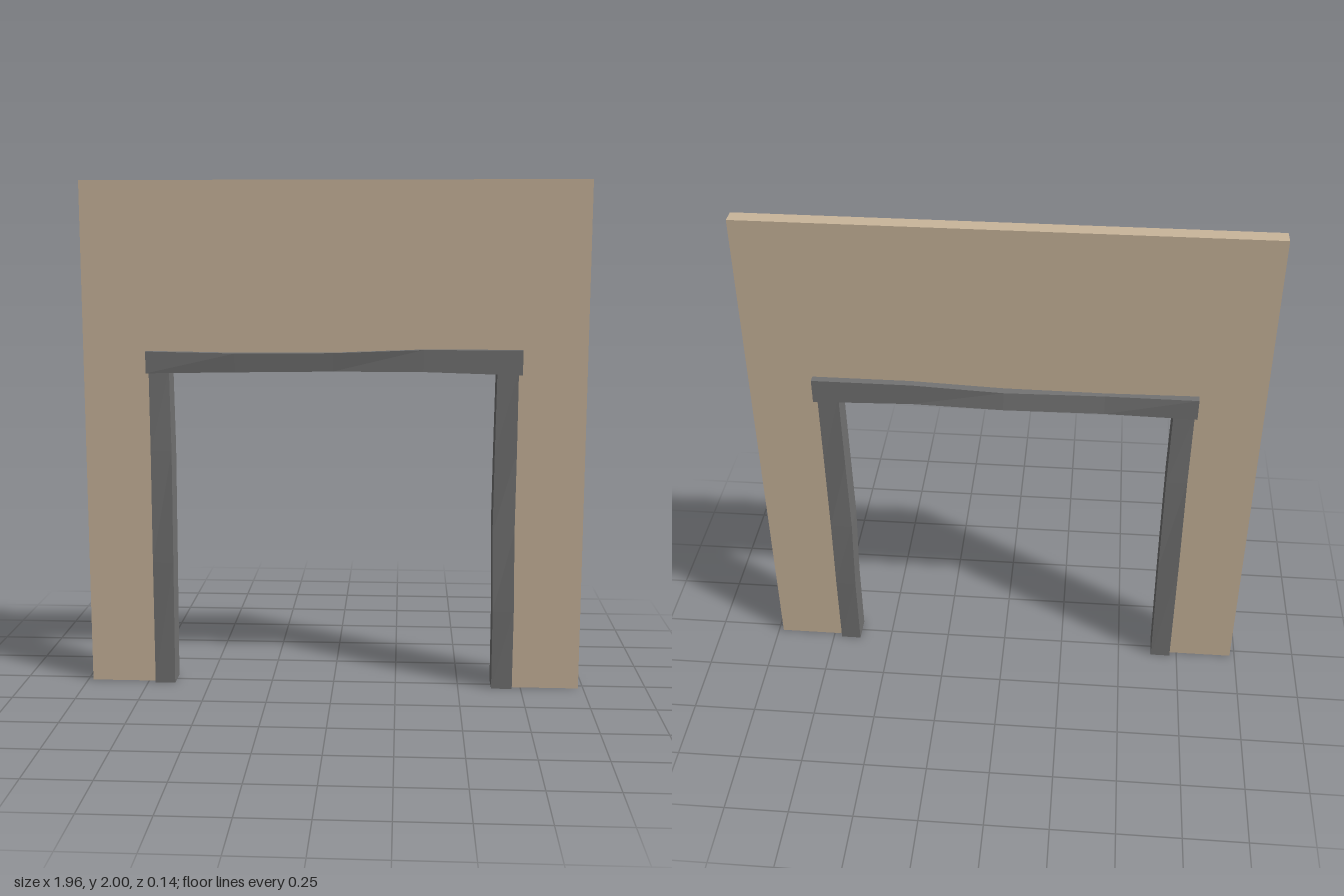
import * as THREE from 'three';

// Rough-hewn beam: each station is [position, low, high, back, front, shear].
// low/high span the crosswise direction (y for a beam along x, x for one along y).
function beam(name, axis, stations, material) {
  const n = stations.length - 1;
  const alongX = axis === 'x';
  const geo = new THREE.BoxGeometry(1, 1, 1, alongX ? n : 1, alongX ? 1 : n, 1).toNonIndexed();
  const p = geo.attributes.position;
  for (let i = 0; i < p.count; i++) {
    const along = alongX ? p.getX(i) : p.getY(i);
    const side = alongX ? p.getY(i) : p.getX(i);
    const [pos, low, high, back, front, shear = 0] = stations[Math.round((along + 0.5) * n)];
    const cross = side > 0 ? high : low;
    const z = (p.getZ(i) > 0 ? front : back) + (side > 0 ? shear : -shear);
    if (alongX) p.setXYZ(i, pos, cross, z);
    else p.setXYZ(i, cross, pos, z);
  }
  geo.computeVertexNormals(); // flat facets
  const mesh = new THREE.Mesh(geo, material);
  mesh.name = name;
  return mesh;
}

export function createModel() {
  const plaster = new THREE.MeshStandardMaterial({ color: 0xc9b59b });
  plaster.name = 'tan plaster';
  const timber = new THREE.MeshStandardMaterial({ color: 0x737373 });
  timber.name = 'grey timber';

  const model = new THREE.Group();
  model.name = 'doorwayWall';

  // Wall panel with a doorway open at the floor
  const outline = [
    [-0.98, 0], [-0.68, 0], [-0.68, 1.3], [0.68, 1.3],
    [0.68, 0], [0.98, 0], [0.98, 2], [-0.98, 2],
  ].map(([x, y]) => new THREE.Vector2(x, y));
  const wallGeo = new THREE.ExtrudeGeometry(new THREE.Shape(outline), { depth: 0.06, bevelEnabled: false });
  wallGeo.translate(0, 0, -0.03);
  const wall = new THREE.Mesh(wallGeo, plaster);
  wall.name = 'wall';
  model.add(wall);

  // Uneven lintel
  model.add(beam('lintel', 'x', [
    [-0.73, 1.26, 1.345, -0.06, 0.06],
    [-0.38, 1.266, 1.34, -0.055, 0.064, 0.004],
    [0, 1.27, 1.342, -0.067, 0.052, 0.004],
    [0.35, 1.271, 1.356, -0.06, 0.057],
    [0.73, 1.26, 1.356, -0.06, 0.057],
  ], timber));

  // Slightly bowed door posts
  model.add(beam('rightPost', 'y', [
    [0, -0.72, -0.64, -0.05, 0.05],
    [0.5, -0.72, -0.637, -0.05, 0.053, 0.002],
    [0.95, -0.718, -0.636, -0.052, 0.053, -0.002],
    [1.28, -0.72, -0.64, -0.05, 0.05],
  ], timber));
  model.add(beam('leftPost', 'y', [
    [0, 0.633, 0.715, -0.05, 0.05],
    [0.32, 0.633, 0.716, -0.051, 0.051, 0.002],
    [0.64, 0.626, 0.712, -0.054, 0.053, -0.002],
    [0.96, 0.629, 0.714, -0.052, 0.052, 0.002],
    [1.28, 0.633, 0.715, -0.05, 0.05],
  ], timber));

  return model;
}
